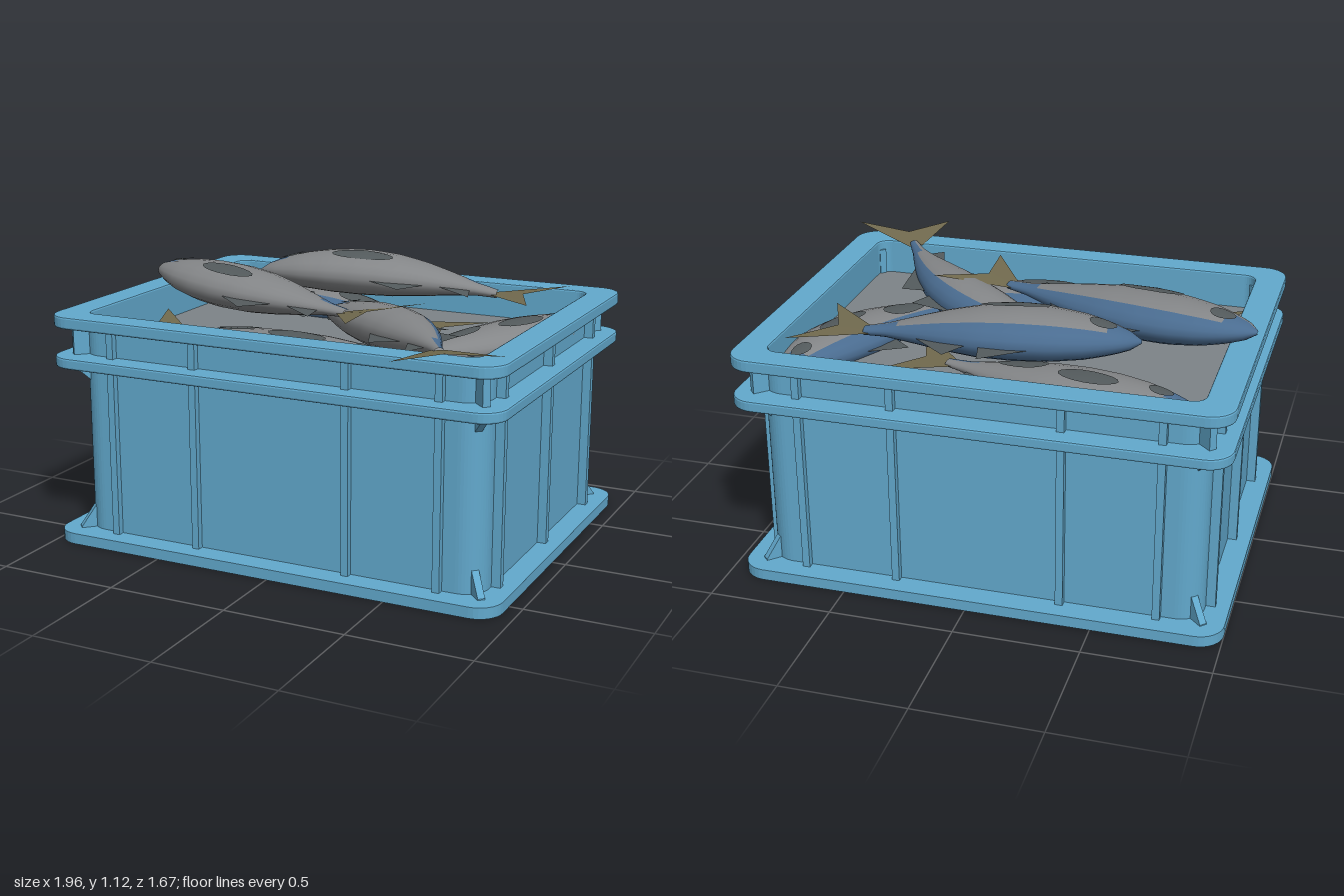
import * as THREE from 'three';

const mat = (name, color, side = THREE.FrontSide) => {
  const m = new THREE.MeshStandardMaterial({ color, side });
  m.name = name;
  return m;
};
const CX = -0.0275, CZ = -0.09;

// Rounded rectangle outline, centred on the origin
function roundRect(hx, hz, r, Type = THREE.Shape) {
  const s = new Type();
  s.moveTo(hx, -hz + r);
  s.absarc(hx - r, hz - r, r, 0, Math.PI / 2);
  s.absarc(-hx + r, hz - r, r, Math.PI / 2, Math.PI);
  s.absarc(-hx + r, -hz + r, r, Math.PI, Math.PI * 1.5);
  s.absarc(hx - r, -hz + r, r, Math.PI * 1.5, Math.PI * 2);
  return s;
}

// Horizontal slab or ring from y0 to y1
function slab(name, shape, y0, y1, material, segs = 3, bevel = 0) {
  const g = new THREE.ExtrudeGeometry(shape, {
    depth: y1 - y0 - 2 * bevel, curveSegments: segs, bevelEnabled: bevel > 0,
    bevelSize: bevel, bevelThickness: bevel, bevelOffset: -bevel, bevelSegments: 2,
  });
  g.rotateX(-Math.PI / 2);
  const m = new THREE.Mesh(g, material);
  m.name = name;
  m.position.set(CX, y0 + bevel, CZ);
  return m;
}

function createCrate(blue, fill) {
  const crate = new THREE.Group();
  crate.name = 'crate';
  const ring = (hx, hz, r) => {
    const s = roundRect(hx, hz, r);
    s.holes.push(roundRect(0.85, 0.643, 0.05, THREE.Path));
    return s;
  };
  crate.add(
    slab('basePlate', roundRect(0.9725, 0.76, 0.1), 0, 0.045, blue, 4),
    slab('walls', ring(0.88, 0.662, 0.1), 0.04, 0.93, blue, 6),
    slab('middleRim', ring(0.9725, 0.76, 0.1), 0.745, 0.79, blue, 4, 0.008),
    slab('topRim', ring(0.9725, 0.76, 0.1), 0.91, 0.96, blue, 4, 0.008),
    slab('iceFill', roundRect(0.852, 0.645, 0.05), 0.77, 0.81, fill),
  );

  // Vertical ribs on all four walls
  const rib = (x, z, w, d) => {
    const m = new THREE.Mesh(new THREE.BoxGeometry(w, 0.87, d), blue);
    m.name = 'rib';
    m.position.set(CX + x, 0.477, CZ + z);
    crate.add(m);
  };
  for (const s of [-1, 1]) {
    for (const x of [-0.7125, -0.3325, 0.3325, 0.7125]) rib(x, s * 0.667, 0.03, 0.045);
    for (const z of [-0.525, 0, 0.525]) rib(s * 0.892, z, 0.05, 0.03);
  }

  // Diagonal gussets at the corners: [y at wall start, y at wall end, outer start, outer end]
  for (const sx of [-1, 1]) for (const sz of [-1, 1]) {
    for (const [a, b, c, d] of [[0.04, 0.17, 0.04, 0.05], [0.66, 0.75, 0.74, 0.75], [0.78, 0.92, 0.78, 0.92]]) {
      const s = new THREE.Shape([[-0.02, a], [0.065, c], [0.065, d], [-0.02, b]].map(p => new THREE.Vector2(...p)));
      const g = new THREE.ExtrudeGeometry(s, { depth: 0.03, bevelEnabled: false });
      g.translate(0, 0, -0.015);
      const m = new THREE.Mesh(g, blue);
      m.name = 'cornerGusset';
      m.rotation.y = Math.atan2(-sz, sx);
      m.position.set(CX + sx * 0.848, 0, CZ + sz * 0.632);
      crate.add(m);
    }
  }
  return crate;
}

// Body fullness from nose to tail root
const PROFILE = [[0, 0.05], [0.04, 0.3], [0.1, 0.52], [0.2, 0.78], [0.32, 0.95], [0.45, 1], [0.58, 0.92],
  [0.7, 0.72], [0.82, 0.45], [0.92, 0.23], [1, 0.15]];
function fullness(t) {
  let i = 1;
  while (i < PROFILE.length - 1 && t > PROFILE[i][0]) i++;
  const [t0, v0] = PROFILE[i - 1], [t1, v1] = PROFILE[i];
  return v0 + (v1 - v0) * (t - t0) / (t1 - t0);
}

function geometry(points, index) {
  const g = new THREE.BufferGeometry();
  g.setAttribute('position', new THREE.Float32BufferAttribute(points.flatMap(p => [p.x, p.y, p.z]), 3));
  g.setIndex(index);
  g.computeVertexNormals();
  return g;
}

// A fish lying on its flank; side says which way its back points
function createFish({ nose, mid, tail, w, h, side, lift = 0.02, spots }, M) {
  const fish = new THREE.Group();
  fish.name = 'fish';
  const V = a => new THREE.Vector3(...a);
  const curve = new THREE.QuadraticBezierCurve3(V(nose), V(mid), V(tail));
  const up = new THREE.Vector3(0, 1, 0);
  const frame = t => {
    const d = curve.getTangent(t).setY(0).normalize();
    return { c: curve.getPoint(t), d, s: up.clone().cross(d).multiplyScalar(side) };
  };
  const surface = (t, a, grow = 0) => {
    const { c, s } = frame(t), f = fullness(t);
    return c.addScaledVector(s, (w * f + grow) * Math.cos(a))
      .addScaledVector(up, (h * Math.pow(f, 0.9) + grow) * Math.sin(a));
  };
  // Point in the plane of the fish, along and across the body
  const flat = (t, along, across, y = 0) => {
    const { c, d, s } = frame(t);
    return c.addScaledVector(d, along).addScaledVector(s, across).addScaledVector(up, y);
  };
  const add = (name, g, m) => {
    const mesh = new THREE.Mesh(g, m);
    mesh.name = name;
    fish.add(mesh);
  };

  // Body: rings along the curve, blue on the back and snout, grey elsewhere
  const R = 24, N = 20, pts = [], back = [], belly = [];
  for (let i = 0; i <= R; i++) for (let j = 0; j < N; j++) pts.push(surface(i / R, (j / N) * Math.PI * 2));
  for (let i = 0; i < R; i++) for (let j = 0; j < N; j++) {
    const k = (j + 1) % N, a = i * N + j, b = i * N + k, c = a + N, d = b + N;
    const reach = i < 3 ? 6 : i > 20 ? 5 : 3;
    const list = j < reach || j >= N - reach ? back : belly;
    list.push(...(side > 0 ? [a, b, c, b, d, c] : [a, c, b, b, c, d]));
  }
  const body = geometry(pts, [...back, ...belly]);
  body.addGroup(0, back.length, 0);
  body.addGroup(back.length, belly.length, 1);
  add('fishBody', body, [M.back, M.belly]);

  // Dark spots that follow the flank: [position, angle, length, spread]
  for (const [t, a, dt, da] of [[0.14, 1.5, 0.05, 0.35], ...spots]) {
    const p = [surface(t, a, 0.005)], idx = [], K = 16;
    for (let r = 1; r <= 3; r++) for (let k = 0; k < K; k++) {
      const q = (k / K) * Math.PI * 2;
      p.push(surface(t + dt * Math.cos(q) * r / 3, a + da * Math.sin(q) * r / 3, 0.005));
    }
    for (let k = 0; k < K; k++) {
      const n = (k + 1) % K;
      idx.push(0, 1 + n, 1 + k);
      for (let r = 0; r < 2; r++) {
        const o = 1 + r * K;
        idx.push(o + k, o + n, o + K + k, o + n, o + K + n, o + K + k);
      }
    }
    if (side < 0) idx.reverse();
    // The fan and the strips share one winding
    add('spot', geometry(p, idx), M.spot);
  }

  // Forked tail
  const tailPts = [flat(1, -0.03, 0.03), flat(1, 0.25, 0.2, lift), flat(1, 0.11, 0, lift / 2),
    flat(1, 0.2, -0.21, lift / 2), flat(1, -0.03, -0.03)];
  add('tailFin', geometry(tailPts, [0, 1, 2, 0, 2, 4, 2, 3, 4]), M.tail);

  // Back and belly fins: [start, end, tip, direction]
  for (const [t0, t1, tt, dir] of [[0.36, 0.56, 0.55, 1], [0.6, 0.8, 0.67, 1], [0.5, 0.74, 0.66, -1], [0.78, 0.9, 0.92, -1]]) {
    const root = t => flat(t, 0, dir * w * fullness(t) * 0.93);
    const tip = flat(tt, 0, dir * (w * fullness(tt) + 0.085), -0.01);
    add('fin', geometry([root(t0), tip, root(t1)], [0, 1, 2]), M.fin);
  }
  return fish;
}

export function createModel() {
  const model = new THREE.Group();
  model.name = 'crateOfFish';
  const M = {
    back: mat('fishBlue', 0x4a6c90),
    belly: mat('fishGrey', 0x848688),
    spot: mat('spotGrey', 0x535a5c, THREE.DoubleSide),
    fin: mat('finGrey', 0x535a5c, THREE.DoubleSide),
    tail: mat('tailOlive', 0x716a4e, THREE.DoubleSide),
  };
  model.add(createCrate(mat('crateBlue', 0x62a9cd), mat('iceGrey', 0x7d8488)));

  const flank = [[0.46, 1.95, 0.13, 0.28]];
  const two = [[0.42, 1.75, 0.12, 0.3], [0.7, 1.4, 0.1, 0.4]];
  const fishes = [
    // Upper layer
    { nose: [-0.985, 1.01, -0.18], mid: [-0.5, 0.98, -0.06], tail: [0.1, 0.97, 0.15], w: 0.17, h: 0.09, side: 1, lift: 0.05, spots: flank },
    { nose: [-0.57, 1.0, -0.36], mid: [-0.06, 1.05, -0.47], tail: [0.51, 0.97, -0.47], w: 0.175, h: 0.095, side: 1, spots: flank },
    { nose: [-0.14, 0.9, -0.15], mid: [0.34, 0.9, 0.02], tail: [0.66, 0.96, 0.54], w: 0.13, h: 0.09, side: 1, lift: 0.04, spots: [] },
    // Lower layer
    { nose: [0.42, 0.83, 0.3], mid: [-0.1, 0.83, 0.38], tail: [-0.64, 0.85, 0.25], w: 0.15, h: 0.08, side: -1, spots: two },
    { nose: [0.79, 0.84, -0.68], mid: [0.7, 0.83, -0.2], tail: [0.32, 0.83, 0.25], w: 0.15, h: 0.08, side: -1, lift: 0, spots: two },
    { nose: [-0.82, 0.84, -0.56], mid: [-0.35, 0.84, -0.55], tail: [0.2, 0.83, -0.38], w: 0.15, h: 0.08, side: -1, lift: 0, spots: two },
  ];
  for (const f of fishes) model.add(createFish(f, M));
  return model;
}
